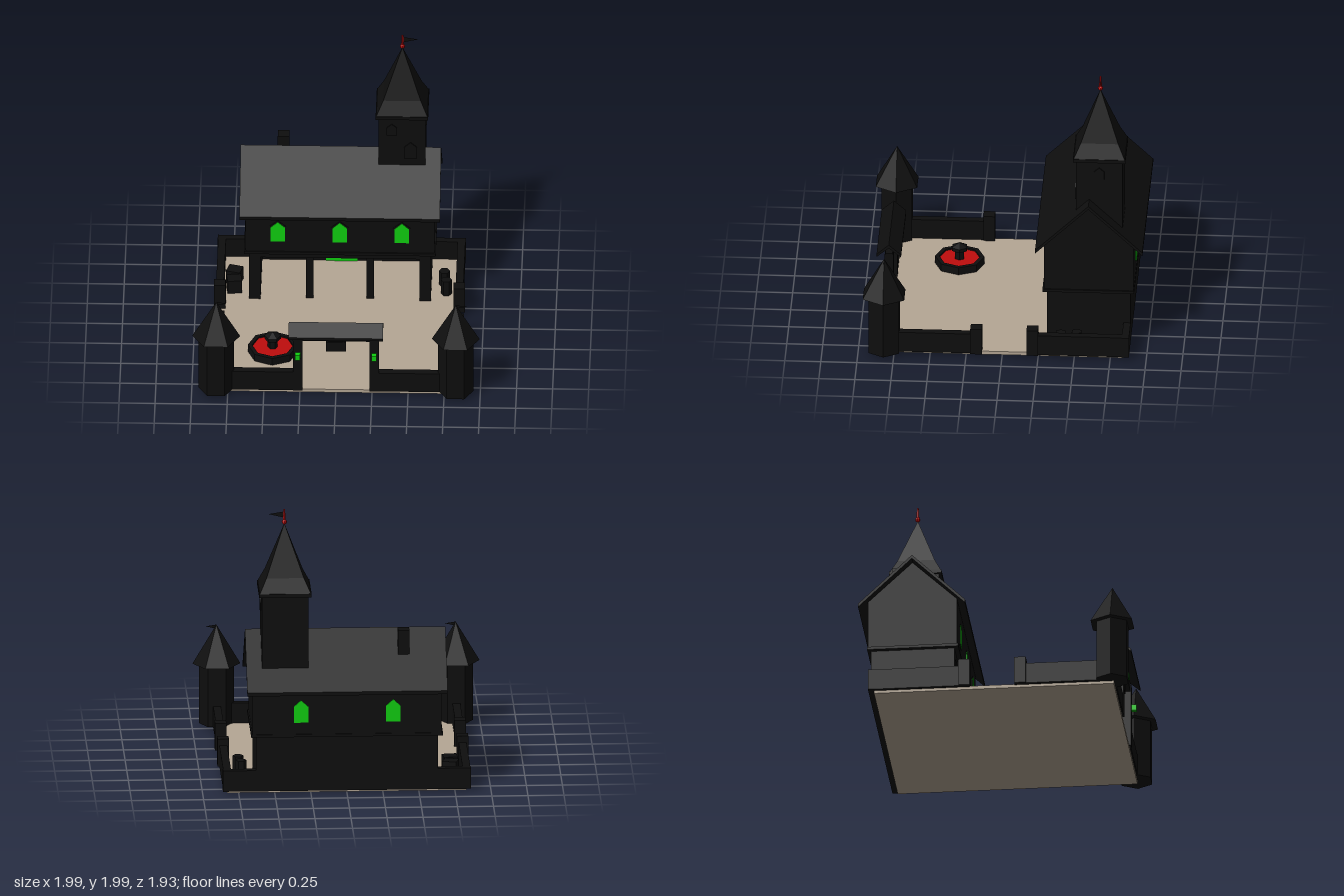
import * as THREE from 'three';

const mat = (name, color) => {
  const m = new THREE.MeshStandardMaterial({ color, flatShading: true });
  m.name = name;
  return m;
};

export function createModel() {
  const root = new THREE.Group();
  root.name = 'courtyardHouse';
  const black = mat('black', 0x0e0e0e);
  const sand = mat('sand', 0xb5a795);
  const green = mat('glowGreen', 0x10d010);
  const red = mat('red', 0xbf0d0d);
  const cloth = mat('flagBlack', 0x0e0e0e);
  cloth.side = THREE.DoubleSide;

  const add = (name, geo, m, x = 0, y = 0, z = 0, ry = 0) => {
    const mesh = new THREE.Mesh(geo, m);
    mesh.name = name;
    mesh.position.set(x, y, z);
    mesh.rotation.y = ry;
    root.add(mesh);
    return mesh;
  };
  // box given by its extents
  const box = (name, x0, x1, y0, y1, z0, z1, m = black) =>
    add(name, new THREE.BoxGeometry(x1 - x0, y1 - y0, z1 - z0), m, (x0 + x1) / 2, (y0 + y1) / 2, (z0 + z1) / 2);
  // n-sided drum or cone standing on y0
  const drum = (name, n, r0, r1, y0, y1, x, z, ry = 0, m = black) =>
    add(name, new THREE.CylinderGeometry(r1, r0, y1 - y0, n), m, x, (y0 + y1) / 2, z, ry);
  // extrusion of a (z, y) outline along x, centred on x = 0
  const prismX = (name, pts, width, m = black) => {
    const shape = new THREE.Shape(pts.map(([z, y]) => new THREE.Vector2(-z, y)));
    const geo = new THREE.ExtrudeGeometry(shape, { depth: width, bevelEnabled: false });
    geo.translate(0, 0, -width / 2).rotateY(Math.PI / 2);
    return add(name, geo, m);
  };
  // pointed plate: w wide, h high, with the shoulders at height s
  const pointed = (w, h, s, t) => {
    const shape = new THREE.Shape([[-w / 2, 0], [w / 2, 0], [w / 2, s], [0, h], [-w / 2, s]].map(p => new THREE.Vector2(...p)));
    return new THREE.ExtrudeGeometry(shape, { depth: t, bevelEnabled: false });
  };
  const flag = (name, x, y, z, len, h) => {
    const shape = new THREE.Shape([[0, 0], [len, h * 0.6], [0, h]].map(p => new THREE.Vector2(...p)));
    add(name, new THREE.ShapeGeometry(shape), cloth, x, y, z);
  };

  // ground slab
  box('ground', -0.83, 0.83, 0, 0.025, -0.84, 0.83, sand);

  // ground floor: open arcade between side walls
  box('backWall', -0.63, 0.63, 0.02, 0.43, -0.88, -0.8);
  for (const s of [-1, 1]) {
    const x = s * 0.59;
    box('sideWall', x - 0.04, x + 0.04, 0.02, 0.43, -0.88, -0.3);
    box('arcadeColumn', s * 0.21 - 0.025, s * 0.21 + 0.025, 0.02, 0.42, -0.37, -0.32);
  }
  box('arcadeLintel', -0.63, 0.63, 0.37, 0.43, -0.36, -0.3);
  add('door', pointed(0.22, 0.29, 0.23, 0.008), green, 0, 0.025, -0.8);

  // upper floor with gable ends, and the band under it
  box('floorBand', -0.665, 0.665, 0.415, 0.435, -0.905, -0.27);
  prismX('upperFloor', [[-0.28, 0.43], [-0.28, 0.78], [-0.59, 1.07], [-0.9, 0.78], [-0.9, 0.43]], 1.31);
  prismX('mainRoof', [[-0.22, 0.73], [-0.22, 0.755], [-0.59, 1.11], [-0.965, 0.755], [-0.965, 0.73], [-0.59, 1.085]], 1.39);
  box('chimney', -0.44, -0.36, 0.9, 1.13, -0.75, -0.67);

  // pointed windows, front and back
  for (const x of [-0.43, 0, 0.43]) {
    add('windowFrame', pointed(0.12, 0.18, 0.13, 0.004), black, x, 0.51, -0.28);
    add('frontWindow', pointed(0.1, 0.16, 0.115, 0.008), green, x, 0.52, -0.28);
  }
  for (const x of [-0.32, 0.32]) add('backWindow', pointed(0.1, 0.16, 0.115, 0.008), green, x, 0.52, -0.9, Math.PI);

  // bell tower with flared pyramid roof
  const tx = 0.425, tz = -0.66, q = Math.SQRT2, p4 = Math.PI / 4;
  box('bellTower', tx - 0.162, tx + 0.162, 0.8, 1.41, tz - 0.162, tz + 0.162);
  box('towerCornice', tx - 0.182, tx + 0.182, 1.405, 1.43, tz - 0.182, tz + 0.182);
  drum('towerRoofSkirt', 4, 0.177 * q, 0.13 * q, 1.43, 1.53, tx, tz, p4);
  drum('towerRoof', 4, 0.13 * q, 0, 1.53, 1.89, tx, tz, p4);
  add('towerWindow', pointed(0.07, 0.09, 0.06, 0.009), black, tx - 0.07, 1.27, tz + 0.162);
  add('towerWindow', pointed(0.09, 0.13, 0.09, 0.009), black, tx + 0.06, 1.08, tz + 0.162);
  add('towerWindow', pointed(0.07, 0.09, 0.06, 0.009), black, tx + 0.162, 1.27, tz, Math.PI / 2);
  add('finialBall', new THREE.SphereGeometry(0.018, 8, 6), red, tx, 1.9, tz);
  drum('finialRod', 6, 0.011, 0.006, 1.9, 1.99, tx, tz, 0, red);
  flag('towerFlag', tx, 1.93, tz, 0.11, 0.045);

  // courtyard walls, side-gate piers and hexagonal corner turrets
  box('rearWall', -0.86, 0.86, 0.02, 0.17, -0.88, -0.83);
  for (const s of [-1, 1]) {
    const x = s * 0.83;
    box('sideYardWall', x - 0.027, x + 0.027, 0.02, 0.17, -0.88, -0.2);
    box('sideYardWall', x - 0.027, x + 0.027, 0.02, 0.17, 0.17, 0.82);
    for (const z of [-0.21, 0.18]) box('sideGatePier', x - 0.04, x + 0.04, 0.02, 0.215, z - 0.04, z + 0.04);
    box('frontYardWall', s * 0.53 - 0.27, s * 0.53 + 0.27, 0.02, 0.17, 0.787, 0.84);
    drum('turret', 6, 0.122, 0.122, 0.02, 0.46, x, 0.82, Math.PI / 6);
    drum('turretRoof', 6, 0.166, 0, 0.45, 0.73, x, 0.82, Math.PI / 6);
    flag('turretFlag', x, 0.7, 0.82, 0.075, 0.03);

    // main gate posts and lanterns
    const g = s * 0.265;
    box('gatePost', g - 0.033, g + 0.033, 0.02, 0.48, 0.785, 0.845);
    box('gateLantern', g - 0.018, g + 0.018, 0.295, 0.335, 0.845, 0.88, green);
  }
  // gate beam, little roof and hanging board
  box('gateBeam', -0.3, 0.3, 0.43, 0.49, 0.79, 0.84);
  prismX('gateRoof', [[0.9, 0.475], [0.9, 0.495], [0.815, 0.57], [0.73, 0.495], [0.73, 0.475], [0.815, 0.545]], 0.655);
  box('hangingBoard', -0.07, 0.07, 0.335, 0.41, 0.807, 0.823);
  for (const x of [-0.05, 0.05]) box('boardHanger', x - 0.005, x + 0.005, 0.4, 0.44, 0.81, 0.82);

  // fountain: octagonal rim, basin and centre post
  const fx = -0.45, fz = 0.365;
  const rim = [[0.142, 0.025], [0.172, 0.025], [0.172, 0.08], [0.142, 0.08], [0.142, 0.025]];
  add('fountainRim', new THREE.LatheGeometry(rim.map(p => new THREE.Vector2(...p)), 8), black, fx, 0, fz);
  drum('fountainWater', 8, 0.146, 0.146, 0.025, 0.068, fx, fz, 0, red);
  drum('fountainPost', 6, 0.035, 0.035, 0.06, 0.14, fx, fz, Math.PI / 6);
  drum('fountainTop', 6, 0.058, 0.058, 0.135, 0.16, fx, fz, Math.PI / 6);
  drum('fountainTip', 6, 0.058, 0, 0.16, 0.187, fx, fz, Math.PI / 6);

  // crates on one side, barrels on the other
  const crate = new THREE.BoxGeometry(0.1, 0.1, 0.09);
  add('crate', crate, black, -0.735, 0.075, -0.525, -0.28);
  add('crate', crate, black, -0.735, 0.075, -0.41, 0.13);
  drum('barrel', 6, 0.038, 0.038, 0.025, 0.14, 0.72, -0.51, Math.PI / 6);
  drum('barrel', 6, 0.038, 0.038, 0.025, 0.14, 0.735, -0.4, Math.PI / 6);

  return root;
}
